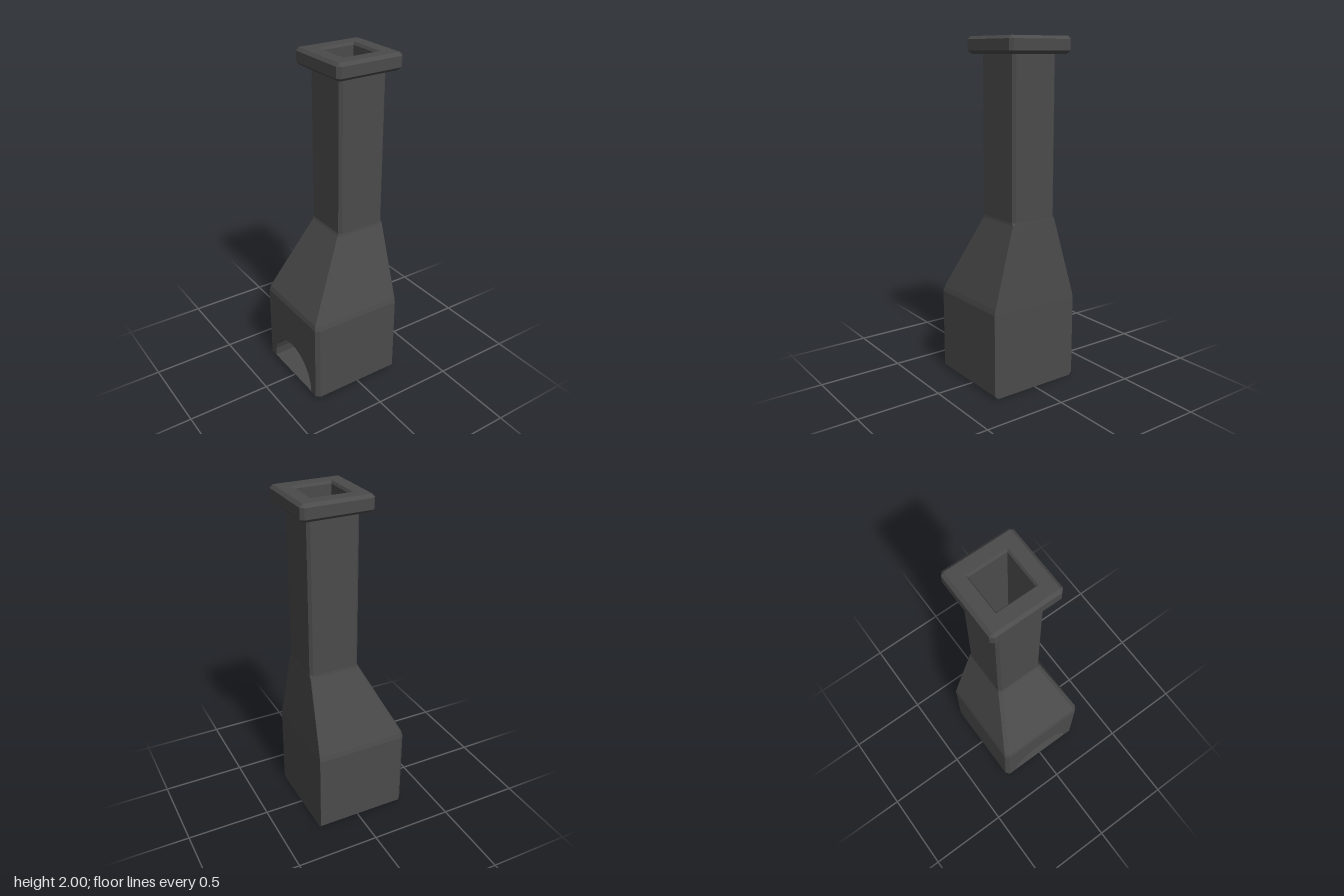
import * as THREE from 'three';

const iron = new THREE.MeshStandardMaterial({ color: 0x4b4b4b, side: THREE.DoubleSide });
iron.name = 'dark iron';

// Rectangular section at height y: c chamfers the -x corners, d the +x corners
function section(y, x0, x1, z, c, d) {
  return [
    [x1, z - d], [x1, d - z], [x1 - d, -z], [x0 + c, -z],
    [x0, c - z], [x0, z - c], [x0 + c, z], [x1 - d, z],
  ].map(([x, pz]) => new THREE.Vector3(x, y, pz));
}

// Flat-shaded skin through rings; skip(level, side) leaves a face out
function loft(name, rings, { capStart = false, capEnd = false, skip = () => false } = {}) {
  const tris = [];
  const n = rings[0].length;
  for (let r = 0; r < rings.length - 1; r++) {
    const a = rings[r], b = rings[r + 1];
    for (let i = 0; i < n; i++) {
      if (skip(r, i)) continue;
      const j = (i + 1) % n;
      tris.push(a[i], a[j], b[j], a[i], b[j], b[i]);
    }
  }
  const first = rings[0], last = rings[rings.length - 1];
  for (let i = 1; i < n - 1; i++) {
    if (capStart) tris.push(first[0], first[i + 1], first[i]);
    if (capEnd) tris.push(last[0], last[i], last[i + 1]);
  }
  const geometry = new THREE.BufferGeometry().setFromPoints(tris);
  geometry.computeVertexNormals();
  return named(name, geometry);
}

function named(name, geometry) {
  const mesh = new THREE.Mesh(geometry, iron);
  mesh.name = name;
  return mesh;
}

export function createModel() {
  const group = new THREE.Group();
  group.name = 'chimney';
  const sharp = 0.001;

  // Firebox, tapering hood and shaft; the -x wall of the firebox is made separately
  group.add(loft('body', [
    section(0, -0.29, 0.26, 0.265, 0.02, sharp),
    section(0.02, -0.305, 0.26, 0.283, 0.022, sharp),
    section(0.5, -0.305, 0.259, 0.283, 0.022, sharp),
    section(0.53, -0.297, 0.258, 0.277, 0.022, sharp),
    section(0.985, -0.06, 0.246, 0.147, 0.017, 0.004),
    section(1.0, -0.055, 0.245, 0.145, 0.016, 0.016),
    section(1.91, -0.055, 0.245, 0.145, 0.016, 0.016),
  ], { capStart: true, skip: (level, side) => level === 1 && side === 4 }));

  // Collar with bevelled edges and the lip of the flue
  group.add(loft('collar', [
    section(1.905, -0.055, 0.245, 0.145, 0.016, 0.016),
    section(1.905, -0.095, 0.288, 0.19, 0.012, 0.012),
    section(1.922, -0.112, 0.305, 0.208, 0.018, 0.018),
    section(1.983, -0.112, 0.305, 0.208, 0.018, 0.018),
    section(2.0, -0.095, 0.288, 0.19, 0.002, 0.002),
    section(2.0, -0.022, 0.215, 0.12, sharp, sharp),
    section(1.985, -0.014, 0.206, 0.111, sharp, sharp),
  ]));

  // Square flue shaft
  group.add(loft('flue', [
    section(1.985, -0.014, 0.206, 0.111, sharp, sharp),
    section(1.1, -0.014, 0.206, 0.111, sharp, sharp),
  ], { capEnd: true }));

  // Half-round fire opening cut in the -x wall
  const arch = [];
  for (let i = 0; i <= 12; i++) {
    const t = (i / 12) * Math.PI;
    arch.push(new THREE.Vector2(0.212 * Math.cos(t), 0.024 + 0.215 * Math.sin(t)));
  }
  const wall = new THREE.Shape([[-0.261, 0.02], [0.261, 0.02], [0.261, 0.5], [-0.261, 0.5]]
    .map(([x, y]) => new THREE.Vector2(x, y)));
  wall.holes.push(new THREE.Path(arch));
  const wallGeometry = new THREE.ShapeGeometry(wall);
  wallGeometry.rotateY(-Math.PI / 2).translate(-0.305, 0, 0);
  group.add(named('fireboxWall', wallGeometry));

  // Hearth recess behind the opening
  const archAt = (x) => arch.map((p) => new THREE.Vector3(x, p.y, p.x));
  group.add(loft('hearth', [archAt(-0.305), archAt(-0.145)], { capEnd: true }));

  return group;
}
